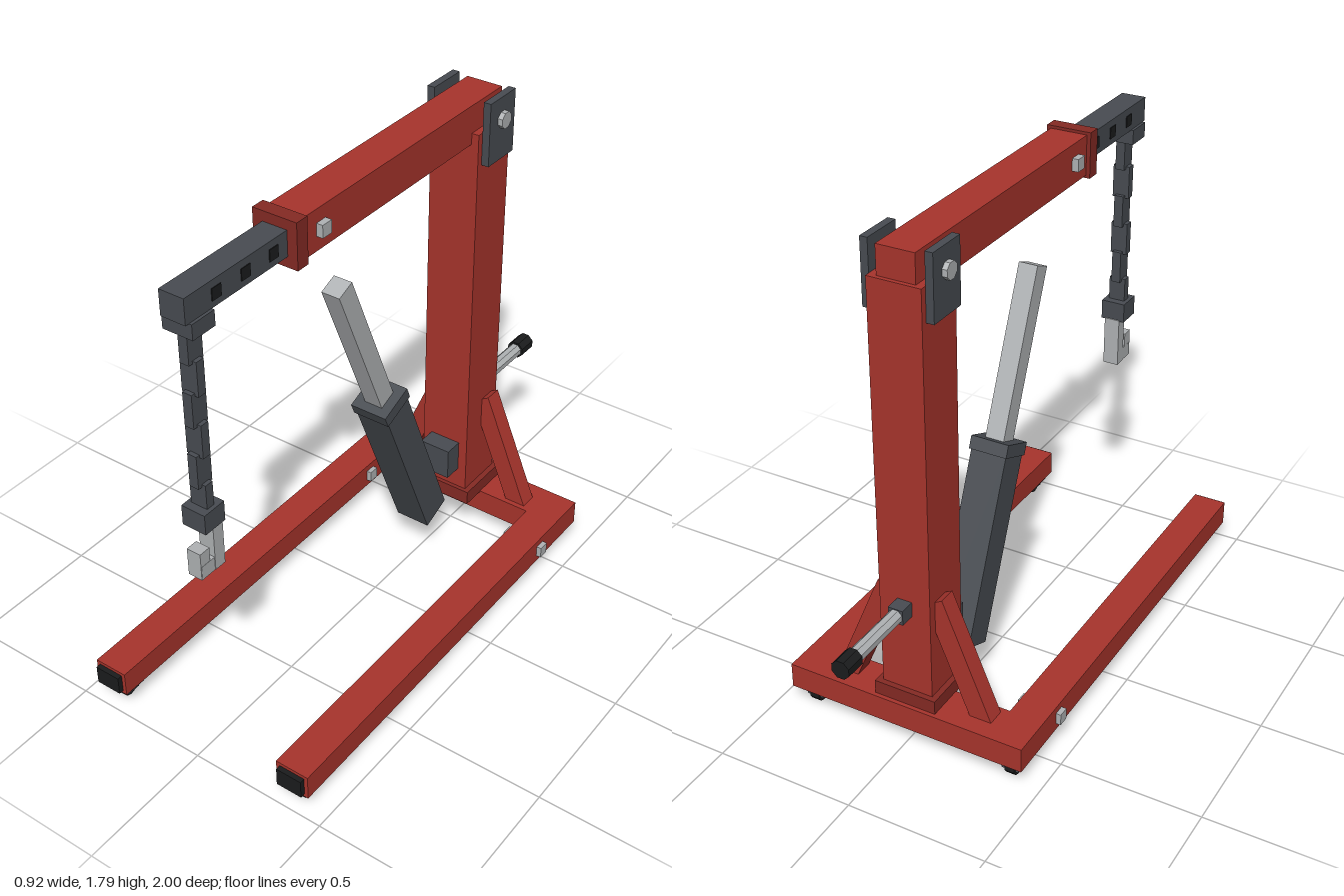
import * as THREE from 'three';

const mat = (name, color) => {
  const m = new THREE.MeshStandardMaterial({ color });
  m.name = name;
  return m;
};

export function createModel() {
  const red = mat('red paint', 0xa8342c);
  const darkRed = mat('dark red paint', 0x852a24);
  const steel = mat('dark steel', 0x484c52);
  const silver = mat('bright steel', 0xb0b3b5);
  const black = mat('black rubber', 0x1b1c1d);

  const model = new THREE.Group();
  model.name = 'workshopCrane';

  const add = (name, geo, m, parent = model) => {
    const mesh = new THREE.Mesh(geo, m);
    mesh.name = name;
    parent.add(mesh);
    return mesh;
  };
  // Box given by its extent along each axis
  const box = (name, m, [x0, x1], [y0, y1], [z0, z1], parent) => {
    const mesh = add(name, new THREE.BoxGeometry(x1 - x0, y1 - y0, z1 - z0), m, parent);
    mesh.position.set((x0 + x1) / 2, (y0 + y1) / 2, (z0 + z1) / 2);
    return mesh;
  };
  // Flat-sided rod along 'x' or 'z'
  const rod = (name, m, r, length, sides, axis, pos, parent) => {
    const geo = new THREE.CylinderGeometry(r, r, length, sides).toNonIndexed();
    geo.rotateY(Math.PI / sides);
    if (axis === 'x') geo.rotateZ(Math.PI / 2);
    else geo.rotateX(Math.PI / 2);
    geo.computeVertexNormals();
    const mesh = add(name, geo, m, parent);
    mesh.position.set(...pos);
    return mesh;
  };
  // Closed outline in (x, y), extruded along z and centred
  const plate = (points, depth) => {
    const shape = new THREE.Shape(points.map(p => new THREE.Vector2(...p)));
    return new THREE.ExtrudeGeometry(shape, { depth, bevelEnabled: false }).translate(0, 0, -depth / 2);
  };

  // Base frame
  box('crossBar', red, [-0.32, 0.32], [0.072, 0.164], [-0.67, -0.52]);
  for (const s of [-1, 1]) {
    const side = s > 0 ? 'left' : 'right';
    const cx = s * 0.382;
    box(side + 'Leg', red, [cx - 0.062, cx + 0.062], [0.072, 0.164], [-0.67, 0.982]);
    box(side + 'LegEndCap', black, [cx - 0.048, cx + 0.048], [0.084, 0.152], [0.975, 1]);
    box(side + 'LegPin', silver, [cx - 0.08, cx + 0.08], [0.098, 0.14], [-0.433, -0.393]);

    // Casters
    for (const z of [0.92, -0.605]) {
      const caster = new THREE.Group();
      caster.name = side + (z > 0 ? 'FrontCaster' : 'RearCaster');
      caster.position.set(cx, 0, z);
      model.add(caster);
      box('casterPlate', steel, [-0.05, 0.05], [0.054, 0.072], [-0.034, 0.034], caster);
      for (const f of [-1, 1])
        box('casterFork', steel, [f * 0.026 - 0.006, f * 0.026 + 0.006], [0.025, 0.056], [-0.026, 0.026], caster);
      rod('casterWheel', black, 0.032, 0.036, 10, 'x', [0, 0.0305, 0], caster);
    }

    // Sloping brace beside the post
    const brace = plate([[0.08, 0.49], [0.08, 0.565], [0.12, 0.588], [0.298, 0.16], [0.218, 0.16]], 0.065);
    if (s < 0) brace.rotateY(Math.PI);
    add(side + 'Brace', brace, red).position.z = -0.572;

    // Pivot plate at the top of the post
    const px = s * 0.109;
    box(side + 'PivotPlate', steel, [px - 0.0135, px + 0.0135], [1.565, 1.79], [-0.615, -0.465]);
  }

  // Post
  box('postFoot', darkRed, [-0.115, 0.115], [0.16, 0.214], [-0.655, -0.43]);
  box('post', red, [-0.094, 0.094], [0.2, 1.68], [-0.635, -0.445]);
  box('postBracket', steel, [-0.06, 0.06], [0.295, 0.415], [-0.446, -0.375]);

  // Boom with its sliding extension
  box('boom', red, [-0.067, 0.067], [1.64, 1.78], [-0.62, 0.455]);
  rod('pivotPin', silver, 0.03, 0.28, 8, 'x', [0, 1.71, -0.54]);
  box('boomCollar', darkRed, [-0.081, 0.081], [1.63, 1.79], [0.446, 0.496]);
  box('boomPin', silver, [-0.09, 0.09], [1.69, 1.734], [0.343, 0.387]);
  box('extension', steel, [-0.045, 0.045], [1.667, 1.755], [0.44, 0.945]);
  for (const z of [0.56, 0.686, 0.813])
    for (const s of [-1, 1])
      box('adjustmentHole', black, [s * 0.046 - 0.002, s * 0.046 + 0.002],
        [1.69, 1.73], [z - 0.02, z + 0.02]);

  // Chain: links alternate between the two directions
  const cz = 0.883;
  box('chainHanger', steel, [-0.055, 0.055], [1.615, 1.668], [cz - 0.048, cz + 0.048]);
  for (let i = 0; i < 6; i++) {
    const y = 1.566 - i * 0.11;
    const [wx, wz] = i % 2 ? [0.031, 0.016] : [0.017, 0.031];
    box('chainLink', steel, [-wx, wx], [y - 0.06, y + 0.06], [cz - wz, cz + wz]);
  }
  box('hookBlock', steel, [-0.045, 0.045], [0.915, 0.988], [cz - 0.045, cz + 0.045]);

  // Hook
  box('hookShank', silver, [-0.029, 0.029], [0.735, 0.92], [0.833, 0.878]);
  box('hookBase', silver, [-0.027, 0.027], [0.735, 0.785], [0.87, 0.938]);
  box('hookTip', silver, [-0.026, 0.026], [0.735, 0.836], [0.897, 0.94]);

  // Leaning hydraulic ram
  const ram = new THREE.Group();
  ram.name = 'ram';
  ram.position.set(0, 0.185, -0.295);
  ram.rotation.x = Math.atan2(0.501, 1.215);
  model.add(ram);
  box('ramBody', steel, [-0.066, 0.066], [0, 0.69], [-0.061, 0.061], ram);
  box('ramCollar', steel, [-0.071, 0.071], [0.67, 0.716], [-0.069, 0.069], ram);
  box('ramRod', silver, [-0.035, 0.035], [0.7, 1.314], [-0.036, 0.036], ram);

  // Pump handle behind the post
  box('handleSocket', steel, [-0.027, 0.027], [0.514, 0.568], [-0.69, -0.63]);
  rod('handleRod', silver, 0.026, 0.26, 8, 'z', [0, 0.541, -0.81]);
  rod('handleGrip', black, 0.034, 0.075, 8, 'z', [0, 0.541, -0.9625]);

  return model;
}
